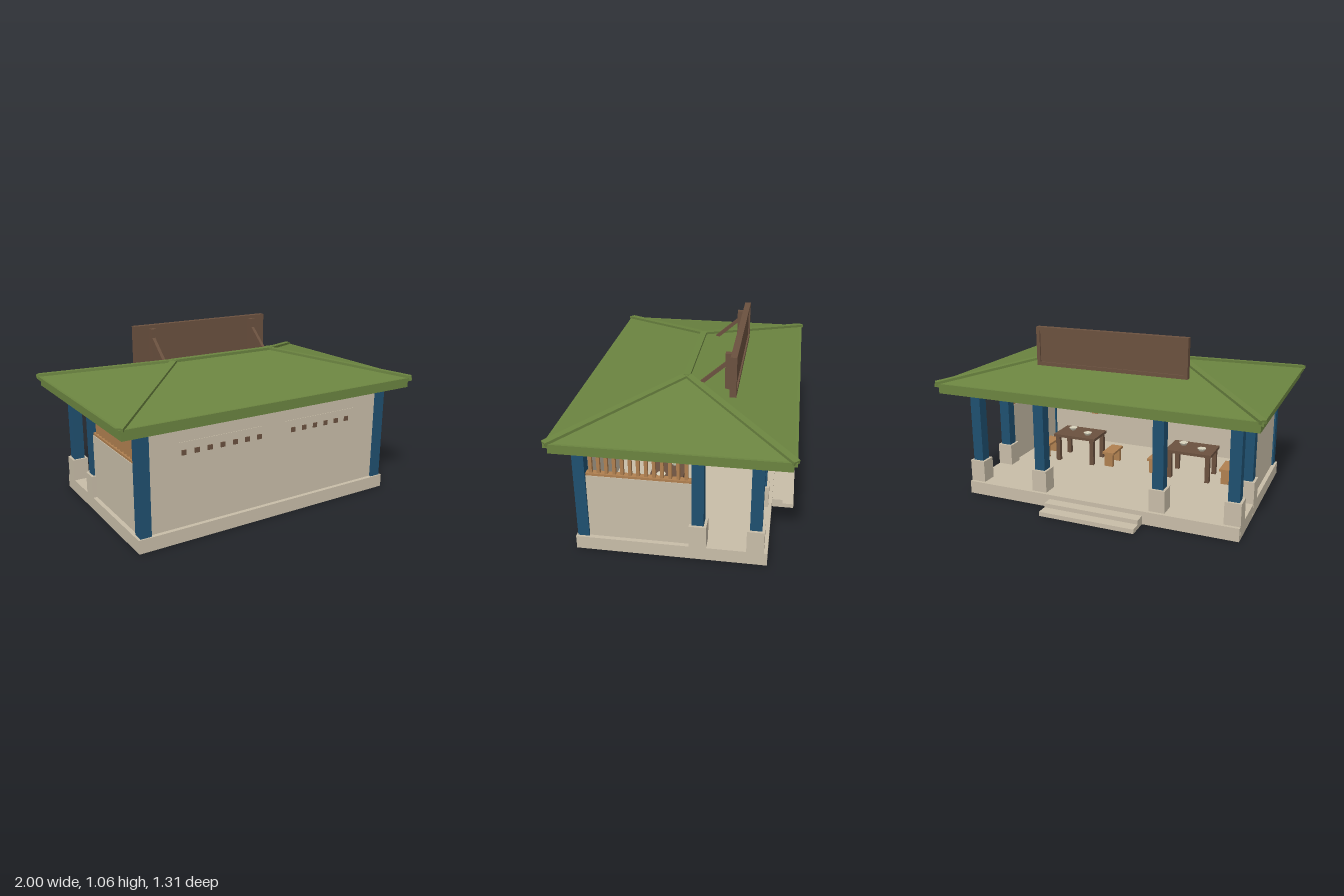
import * as THREE from 'three';

const mat = (name, color) => {
  const m = new THREE.MeshStandardMaterial({ color });
  m.name = name;
  return m;
};

export function createModel() {
  const plaster = mat('plaster', 0xc8bda8);
  const green = mat('roofGreen', 0x6b8440);
  const blue = mat('columnBlue', 0x1f5070);
  const brown = mat('darkWood', 0x6b513f);
  const wood = mat('lightWood', 0xb08050);
  const iron = mat('iron', 0x33302e);
  const pale = mat('ceramic', 0xd8d2bc);

  const model = new THREE.Group();
  const add = (name, geo, material, parent = model) => {
    const mesh = new THREE.Mesh(geo, material);
    mesh.name = name;
    parent.add(mesh);
    return mesh;
  };
  // Box given by its limits on each axis
  const box = (name, material, x0, x1, y0, y1, z0, z1, parent) => {
    const mesh = add(name, new THREE.BoxGeometry(x1 - x0, y1 - y0, z1 - z0), material, parent);
    mesh.position.set((x0 + x1) / 2, (y0 + y1) / 2, (z0 + z1) / 2);
    return mesh;
  };
  // Bar of rectangular section between two points
  const bar = (name, material, a, b, w, h) => {
    const mesh = add(name, new THREE.BoxGeometry(w, h, a.distanceTo(b)), material);
    mesh.position.copy(a).add(b).multiplyScalar(0.5);
    mesh.lookAt(b);
    return mesh;
  };
  const v = (x, y, z) => new THREE.Vector3(x, y, z);

  // Platform and back steps
  box('platform', plaster, -0.867, 0.867, 0, 0.08, -0.52, 0.555);
  box('upperStep', plaster, -0.3, 0.3, 0, 0.053, -0.585, -0.52);
  box('lowerStep', plaster, -0.3, 0.3, 0, 0.027, -0.652, -0.585);

  // Columns, most of them on pedestals
  const column = (x, z, pedestal) => {
    box('column', blue, x - 0.033, x + 0.033, pedestal ? 0.21 : 0.08, 0.69, z - 0.033, z + 0.033);
    if (pedestal) box('pedestal', plaster, x - 0.048, x + 0.048, 0.002, 0.215, z - 0.048, z + 0.048);
  };
  for (const s of [-1, 1]) {
    column(s * 0.82, 0.513, false);
    column(s * 0.82, -0.135, true);
    column(s * 0.82, -0.452, true);
    column(s * 0.38, -0.452, true);
  }
  box('porchBeam', brown, -0.8, 0.8, 0.638, 0.685, -0.475, -0.43);

  // Front wall with two raised panels and rows of pegs
  box('frontWall', plaster, -0.79, 0.79, 0.08, 0.685, 0.49, 0.53);
  for (const [start, count, x0, x1] of [[-0.58, 7, -0.61, -0.07], [0.147, 6, 0.09, 0.61]]) {
    box('wallPanel', plaster, x0, x1, 0.46, 0.57, 0.53, 0.533);
    for (let i = 0; i < count; i++) {
      const x = start + i * 0.081;
      box('wallPeg', brown, x - 0.014, x + 0.014, 0.498, 0.526, 0.533, 0.54);
    }
  }

  // Side walls with slatted vents
  for (const s of [-1, 1]) {
    const x = s * 0.82;
    box('sideWall', plaster, x - 0.022, x + 0.022, 0.08, 0.472, -0.102, 0.48);
    box('lowerRail', wood, x - 0.018, x + 0.018, 0.472, 0.486, -0.102, 0.48);
    box('upperRail', wood, x - 0.018, x + 0.018, 0.661, 0.675, -0.102, 0.48);
    for (let i = 0; i < 13; i++) {
      const z = -0.07 + i * 0.0436;
      box('slat', wood, x - 0.01, x + 0.01, 0.486, 0.661, z - 0.009, z + 0.009);
    }
  }

  // Eaves and ceiling
  box('ceiling', plaster, -0.94, 0.94, 0.67, 0.675, -0.6, 0.6);
  box('fascia', green, -0.97, 0.97, 0.673, 0.715, -0.627, 0.627);
  box('eave', green, -0.988, 0.988, 0.715, 0.736, -0.643, 0.643);

  // Hip roof, each slope with its own corners for crisp edges
  const X = 0.988, Z = 0.643, R = 0.345, Y = 0.733, T = 0.876;
  const slopes = [];
  for (const s of [-1, 1]) {
    const a = [-s * X, Y, s * Z], b = [s * X, Y, s * Z], c = [s * R, T, 0], d = [-s * R, T, 0];
    slopes.push(...a, ...b, ...c, ...a, ...c, ...d);
    slopes.push(...b, s * X, Y, -s * Z, ...c);
  }
  const roof = new THREE.BufferGeometry();
  roof.setAttribute('position', new THREE.Float32BufferAttribute(slopes, 3));
  roof.computeVertexNormals();
  add('roofSlopes', roof, green);

  // Ridge and hip caps
  box('ridgeCap', green, -R - 0.01, R + 0.01, T - 0.014, T + 0.012, -0.02, 0.02);
  for (const sx of [-1, 1]) for (const sz of [-1, 1]) {
    bar('hipCap', green, v(sx * R, T, 0), v(sx * 0.983, 0.736, sz * 0.638), 0.04, 0.022);
  }

  // Rooftop board, framed on its back face, with posts and braces
  box('board', brown, -0.48, 0.48, 0.82, 1.056, -0.284, -0.257);
  for (const s of [-1, 1]) {
    box('boardFrameSide', brown, s * 0.469 - 0.011, s * 0.469 + 0.011, 0.82, 1.056, -0.294, -0.284);
    const y = 0.938 + s * 0.107;
    box('boardFrameRail', brown, -0.458, 0.458, y - 0.011, y + 0.011, -0.294, -0.284);
    box('boardPost', brown, s * 0.365 - 0.017, s * 0.365 + 0.017, 0.81, 1.036, -0.257, -0.22);
    bar('boardBrace', brown, v(s * 0.368, 0.85, -0.085), v(s * 0.368, 0.978, -0.23), 0.02, 0.02);
  }

  // Tables with dishes and benches
  for (const s of [-1, 1]) {
    const table = new THREE.Group();
    table.name = 'table';
    table.position.set(s * 0.4, 0, 0.11);
    model.add(table);
    box('tableTop', brown, -0.15, 0.15, 0.25, 0.268, -0.1, 0.1, table);
    for (const a of [-1, 1]) {
      for (const b of [-1, 1]) {
        box('tableLeg', brown, a * 0.125 - 0.014, a * 0.125 + 0.014, 0.08, 0.25, b * 0.08 - 0.014, b * 0.08 + 0.014, table);
      }
      add('dish', new THREE.CylinderGeometry(0.028, 0.018, 0.016, 12), pale, table).position.set(a * 0.07, 0.276, a * 0.03);
      box('benchSeat', wood, a * 0.24 - 0.04, a * 0.24 + 0.04, 0.165, 0.18, -0.08, 0.08, table);
      for (const b of [-1, 1]) {
        box('benchLeg', wood, a * 0.24 - 0.03, a * 0.24 + 0.03, 0.08, 0.165, b * 0.06 - 0.01, b * 0.06 + 0.01, table);
      }
    }
  }

  // Ceiling fan
  const fan = new THREE.Group();
  fan.name = 'ceilingFan';
  fan.position.set(0, 0.595, 0.12);
  model.add(fan);
  add('fanHub', new THREE.CylinderGeometry(0.028, 0.02, 0.035, 12), pale, fan);
  add('fanRod', new THREE.CylinderGeometry(0.006, 0.006, 0.08, 8), iron, fan).position.y = 0.05;
  for (let i = 0; i < 4; i++) {
    const blade = add('fanBlade', new THREE.BoxGeometry(0.035, 0.005, 0.15).translate(0, 0, 0.1), brown, fan);
    blade.rotation.y = i * Math.PI / 2;
  }

  // Hanging lamp and plaque
  add('lampCord', new THREE.CylinderGeometry(0.004, 0.004, 0.08, 6), iron).position.set(0, 0.64, -0.14);
  add('lampShade', new THREE.ConeGeometry(0.042, 0.03, 16), iron).position.set(0, 0.6, -0.14);
  add('lampBulb', new THREE.SphereGeometry(0.014, 12, 8), wood).position.set(0, 0.58, -0.14);
  box('hangingPlaque', wood, 0.15, 0.19, 0.5, 0.675, -0.142, -0.128);

  return model;
}
